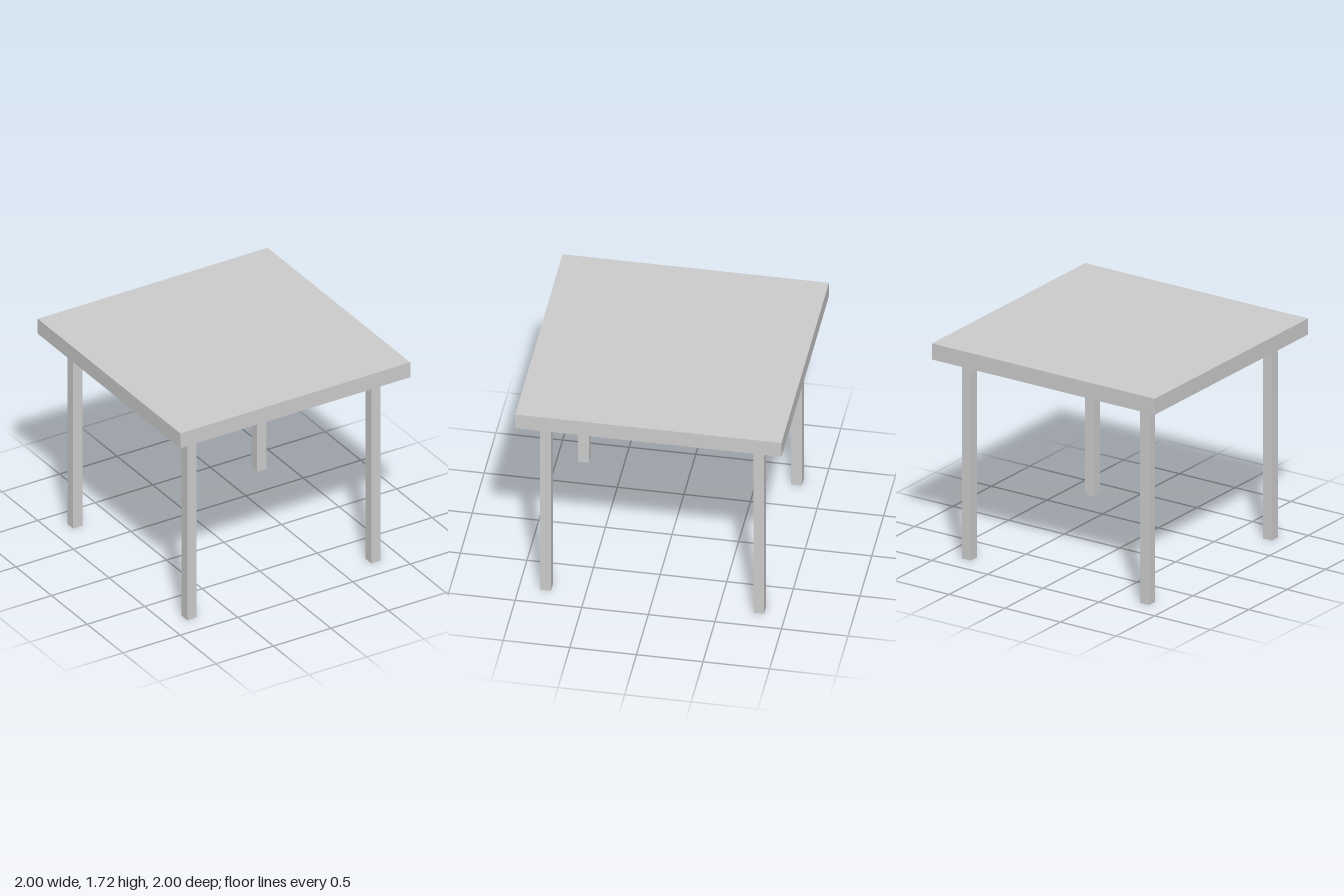
import * as THREE from 'three';

const TOP_Y = 1.72;      // upper face of the table top
const UNDERSIDE = 1.593; // where the legs meet the top
const LEG = 0.08;        // leg thickness
const INSET = 0.8;       // leg centre from the middle

export function createModel() {
  const table = new THREE.Group();
  table.name = 'table';
  const material = new THREE.MeshStandardMaterial({ color: 0xcccccc });

  // Square slab
  const thickness = TOP_Y - UNDERSIDE;
  const top = new THREE.Mesh(new THREE.BoxGeometry(2, thickness, 2), material);
  top.name = 'tableTop';
  top.position.y = UNDERSIDE + thickness / 2;
  table.add(top);

  // Four straight square legs
  const legGeometry = new THREE.BoxGeometry(LEG, UNDERSIDE, LEG);
  for (const [zName, z] of [['front', 1], ['back', -1]]) {
    for (const [xName, x] of [['Left', 1], ['Right', -1]]) {
      const leg = new THREE.Mesh(legGeometry, material);
      leg.name = `${zName}${xName}Leg`;
      leg.position.set(x * INSET, UNDERSIDE / 2, z * INSET);
      table.add(leg);
    }
  }
  return table;
}
